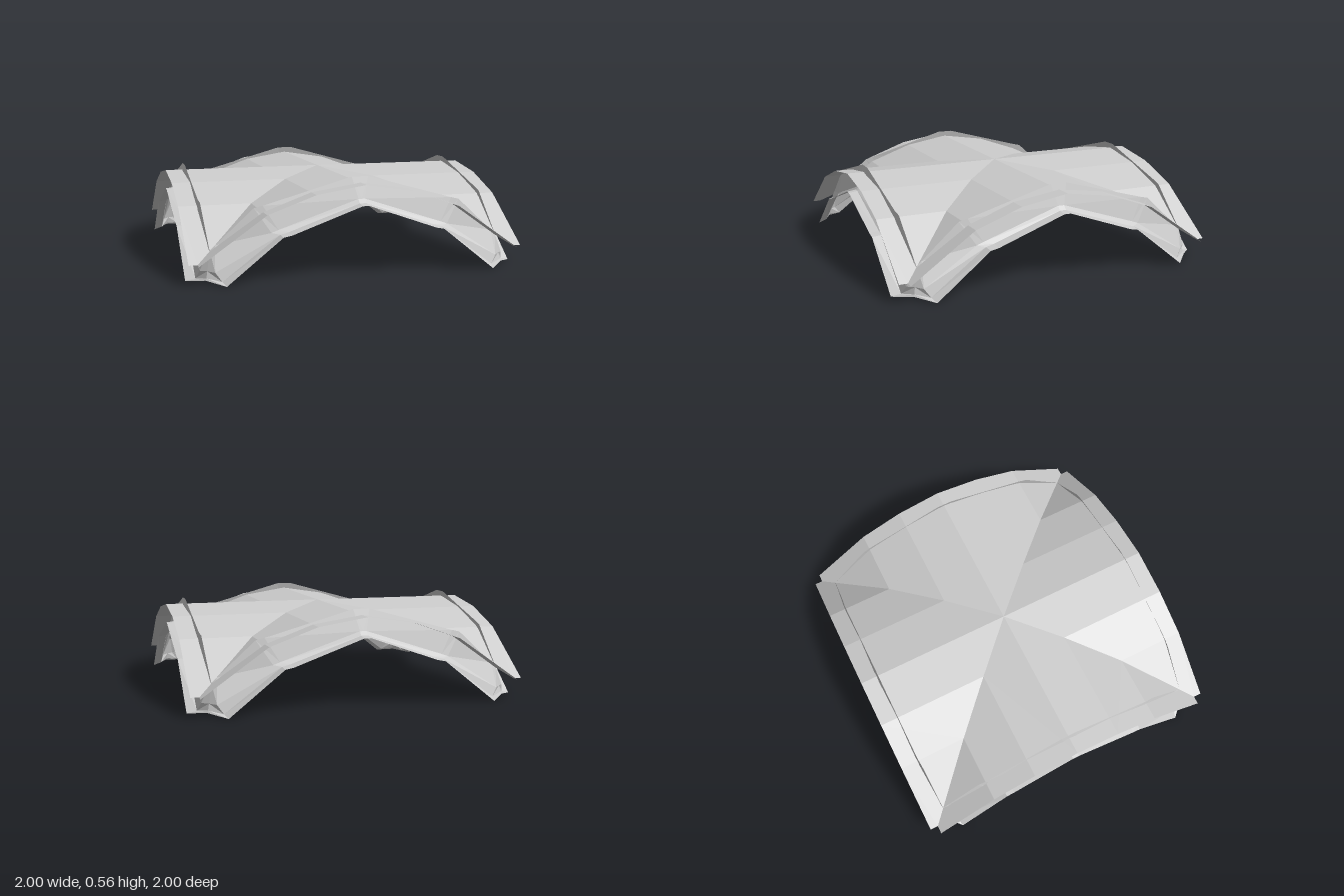
import * as THREE from 'three';

const material = new THREE.MeshStandardMaterial({
  color: 0xcccccc, flatShading: true, side: THREE.DoubleSide,
});

// Surface lofted through rows of points running from the crown (x = 0) to one foot,
// then mirrored to the other foot.
function arch(rows, name) {
  const pos = [], n = rows[0].length;
  for (const s of [1, -1]) {
    const add = (...corners) => {
      if (s < 0) corners.reverse();
      corners.forEach(([x, y, z]) => pos.push(s * x, y, z));
    };
    for (let i = 0; i < rows.length - 1; i++) {
      for (let j = 0; j < n - 1; j++) {
        const a = rows[i][j], b = rows[i][j + 1], c = rows[i + 1][j], d = rows[i + 1][j + 1];
        add(a, b, c);
        add(c, b, d);
      }
    }
  }
  const geometry = new THREE.BufferGeometry();
  geometry.setAttribute('position', new THREE.Float32BufferAttribute(pos, 3));
  geometry.computeVertexNormals();
  const mesh = new THREE.Mesh(geometry, material);
  mesh.name = name;
  return mesh;
}

// Faceted barrel profile: [distance from crown line, height]
const vaultProfile = [[0, 0.53], [0.29, 0.485], [0.57, 0.385], [0.95, 0.12]];

// Rib sections from crown to foot: fin top, wall bottom, lip bend, lip edge
const ribSections = [
  [[0, 0.565, 0.885], [0, 0.44, 0.92], [0, 0.418, 0.945], [0, 0.41, 1]],
  [[0.05, 0.565, 0.885], [0.02, 0.44, 0.92], [0.02, 0.418, 0.945], [0.02, 0.41, 1]],
  [[0.57, 0.42, 0.885], [0.49, 0.285, 0.92], [0.435, 0.275, 0.945], [0.43, 0.265, 1]],
  [[0.62, 0.408, 0.88], [0.53, 0.27, 0.92], [0.485, 0.262, 0.945], [0.48, 0.255, 1]],
  [[0.84, 0.208, 0.872], [0.85, 0.065, 0.925], [0.815, 0.015, 0.945], [0.8, 0, 1]],
  // Mitre where two ribs meet over the foot
  [[0.87, 0.18, 0.87], [0.888, 0.068, 0.888], [0.895, 0.03, 0.895], [0.9, 0.018, 0.9]],
];

export function createModel() {
  const model = new THREE.Group();
  model.name = 'crossVaultCanopy';
  ['front', 'left', 'back', 'right'].forEach((side, i) => {
    const bay = new THREE.Group();
    bay.name = side + 'Bay';
    // Quarter of the cross vault, cut along the diagonals
    bay.add(arch(vaultProfile.map(([x, y]) => [[x, y, x], [x, y, 1]]), side + 'Vault'));
    // Arch rib under the eave, its fin rising just through the vault
    bay.add(arch(ribSections, side + 'ArchRib'));
    bay.rotation.y = i * Math.PI / 2;
    model.add(bay);
  });
  return model;
}
